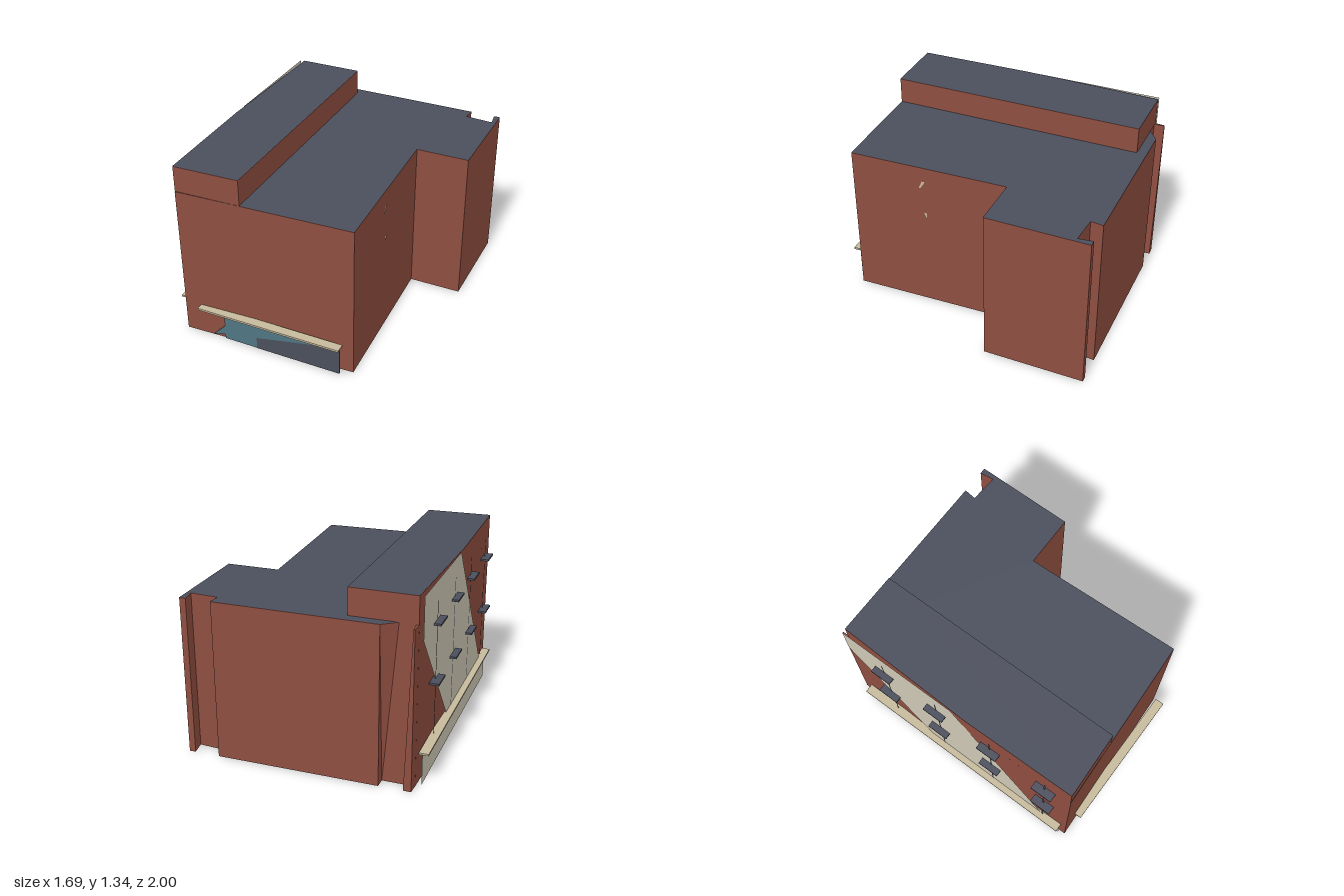
import * as THREE from 'three';

const mat = (name, color, side = THREE.FrontSide) => {
  const m = new THREE.MeshStandardMaterial({ color, side });
  m.name = name;
  return m;
};

export function createModel() {
  const brick = mat('brick', 0x8f4e40, THREE.DoubleSide);
  const slate = mat('slate', 0x4b4f5c, THREE.DoubleSide);
  const stone = mat('stone', 0xc6ba9c, THREE.DoubleSide);
  const plaster = mat('plaster', 0xcfc8b6, THREE.DoubleSide);
  const glass = mat('glass', 0x4f7582, THREE.DoubleSide);
  const group = new THREE.Group();

  const add = (name, geometry, material) => {
    const mesh = new THREE.Mesh(geometry, material);
    mesh.name = name;
    group.add(mesh);
    return mesh;
  };
  const outline = (pts) => new THREE.Shape(pts.map(([a, b]) => new THREE.Vector2(a, b)));
  const plan = (pts) => outline(pts.map(([x, z]) => [x, -z]));

  // Upright prism from a floor outline of [x, z]; the top corners may differ
  const prism = (name, floor, top, y0, y1) => {
    const g = new THREE.ExtrudeGeometry(plan(floor), { depth: y1 - y0, bevelEnabled: false });
    g.rotateX(-Math.PI / 2).translate(0, y0, 0);
    const p = g.attributes.position;
    for (let i = 0; i < p.count; i++) {
      if (p.getY(i) < y1 - 0.001) continue;
      const k = floor.findIndex(([x, z]) => Math.hypot(x - p.getX(i), z - p.getZ(i)) < 1e-4);
      if (k >= 0) p.setXYZ(i, top[k][0], y1, top[k][1]);
    }
    g.computeVertexNormals();
    return add(name, g, brick);
  };
  const roof = (name, pts, y) =>
    add(name, new THREE.ShapeGeometry(plan(pts)).rotateX(-Math.PI / 2).translate(0, y, 0), slate);
  const box = (name, x0, x1, y0, y1, z0, z1, material) =>
    add(name, new THREE.BoxGeometry(x1 - x0, y1 - y0, z1 - z0)
      .translate((x0 + x1) / 2, (y0 + y1) / 2, (z0 + z1) / 2), material);
  // Flat panel on a side wall, from points of [z, y]
  const sidePanel = (name, pts, x, material) =>
    add(name, new THREE.ShapeGeometry(outline(pts)).rotateY(-Math.PI / 2).translate(x, 0, 0), material);

  // Main block with the wing, rear notch and leaning rear recess
  const recess = 10;
  const floor = [
    [-0.785, 0.955], [0.5, 0.9], [0.46, -0.27], [0.845, -0.27], [0.845, -1], [0.8, -1],
    [0.815, -0.895], [0.61, -0.91], [0.62, -1], [-0.54, -1], [-0.541, -0.925], [-0.77, -0.925], [-0.798, 0.1],
  ];
  const top = floor.map((p, i) => (i === recess ? [-0.64, -0.925] : p));
  prism('mainWalls', floor, top, 0, 1.143);
  roof('mainRoof', top, 1.145);

  // Raised strip along the right side
  const strip = [[-0.785, 0.952], [-0.305, 0.934], [-0.305, -0.93], [-0.77, -0.93], [-0.798, 0.1]];
  prism('upperWalls', strip, strip, 1.143, 1.335);
  roof('upperRoof', strip, 1.337);

  // Tapering rear pier
  prism('rearPier',
    [[-0.77, -0.92], [-0.71, -0.92], [-0.71, -1], [-0.765, -1]],
    [[-0.77, -0.92], [-0.75, -0.92], [-0.755, -1], [-0.765, -1]], 0, 1.14);

  // Plaster field, base and ledge on the right wall
  sidePanel('plasterField',
    [[-0.93, 1.335], [-0.015, 1.335], [0.82, 0.115], [0.82, 0.1], [-0.17, 0.1], [-0.93, 1.04]], -0.801, plaster);
  sidePanel('sideBase', [[-0.89, 0], [0.91, 0], [0.91, 0.226], [-0.89, 0.226]], -0.804, plaster);
  box('sideLedge', -0.848, -0.78, 0.225, 0.238, -0.895, 0.912, stone);

  // Window sills with narrow frame lines
  for (const z of [-0.61, -0.155, 0.3, 0.755]) {
    for (const y of [0.64, 1.06]) {
      box('windowSill', -0.848, -0.78, y - 0.007, y + 0.007, z - 0.08, z + 0.08, slate);
    }
    sidePanel('frameLine', [[z - 0.006, 0.24], [z + 0.006, 0.24], [z + 0.006, 1.2], [z - 0.006, 1.2]], -0.803, slate);
  }

  // Shop front panels and ledge
  const frontPanel = (name, pts, material) =>
    add(name, new THREE.ExtrudeGeometry(outline(pts), { depth: 0.009, bevelEnabled: false })
      .translate(0, 0, 0.945), material);
  frontPanel('shopGlass', [[-0.57, 0.01], [-0.475, 0.035], [-0.475, 0.002], [-0.22, 0.002],
    [-0.22, 0.09], [0.42, 0.225], [-0.475, 0.225], [-0.475, 0.11]], glass);
  frontPanel('shopPanel', [[-0.22, 0], [0.42, 0], [0.42, 0.225], [-0.22, 0.09]], slate);
  box('frontLedge', -0.66, 0.432, 0.225, 0.24, 0.932, 1, stone);

  // Small chips on the left wall
  sidePanel('wallChip', [[0.385, 0.975], [0.37, 0.98], [0.335, 1.035], [0.36, 1.035]], 0.485, stone);
  sidePanel('wallChip', [[0.352, 0.775], [0.33, 0.725], [0.328, 0.775]], 0.484, stone);

  return group;
}
